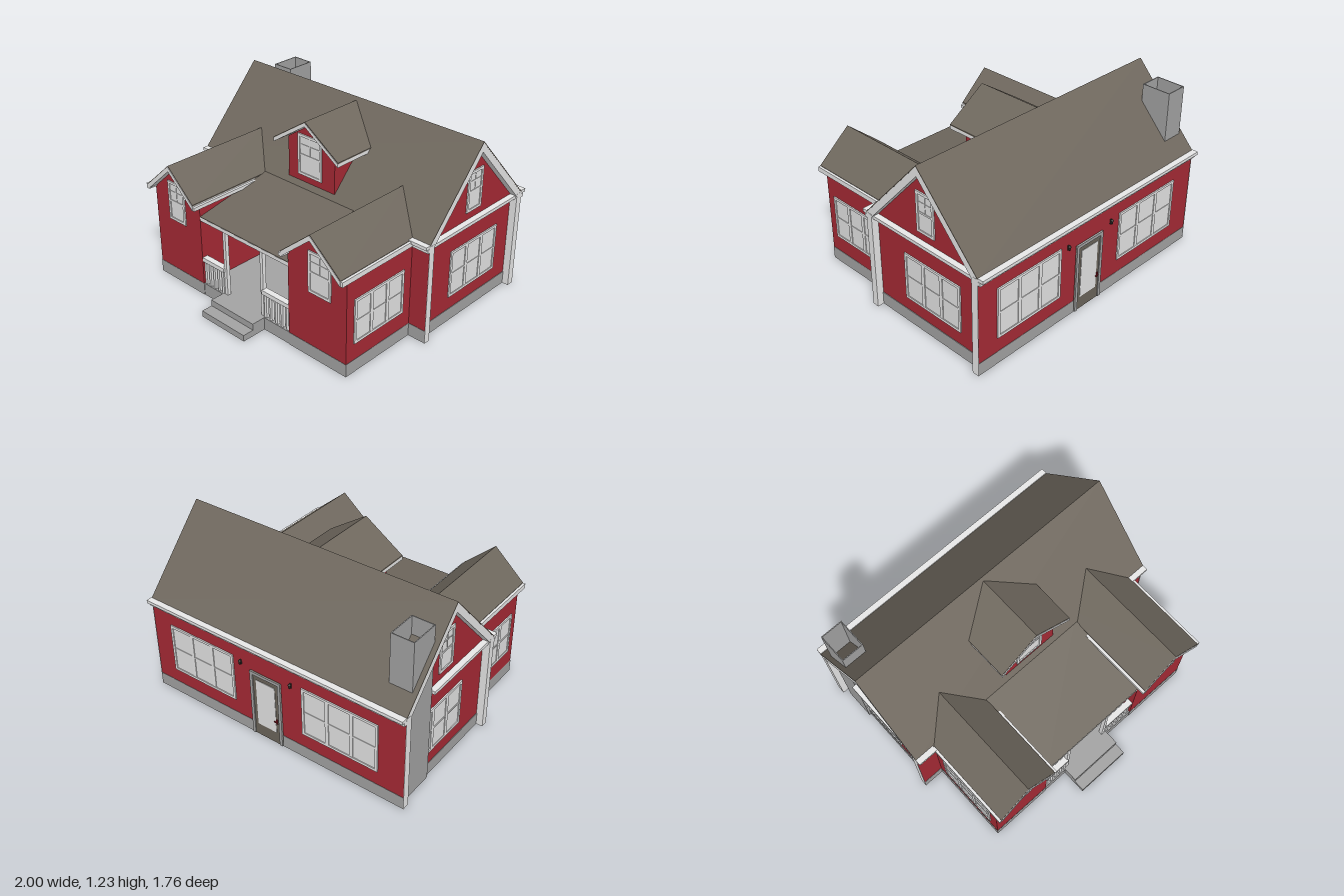
import * as THREE from 'three';

const mat = (name, color) => {
  const m = new THREE.MeshStandardMaterial({ color });
  m.name = name;
  return m;
};

export function createModel() {
  const red = mat('wall red', 0xa62a35);
  const white = mat('trim white', 0xe8e8e8);
  const grey = mat('concrete grey', 0xa3a3a3);
  const under = mat('underside pale', 0xd8d8d8);
  const roofMat = mat('roof taupe', 0x6f685e);
  const glass = mat('pale glass', 0xe4e4e4);
  const doorMat = mat('door taupe', 0x6b655b);
  const black = mat('lamp black', 0x322e2a);
  const handleMat = mat('handle red', 0x7a1620);

  const house = new THREE.Group();
  house.name = 'house';

  const add = (parent, name, geo, material) => {
    const m = new THREE.Mesh(geo, material);
    m.name = name;
    parent.add(m);
    return m;
  };
  // Box given by its limits on each axis
  const box = (parent, name, material, [x0, x1], [y0, y1], [z0, z1]) => {
    const g = new THREE.BoxGeometry(x1 - x0, y1 - y0, z1 - z0);
    g.translate((x0 + x1) / 2, (y0 + y1) / 2, (z0 + z1) / 2);
    return add(parent, name, g, material);
  };
  // Concrete block on the ground with a pale underside
  const block = (name, x, top, z) => {
    box(house, name, grey, x, [0.003, top], z);
    box(house, name + 'Underside', under, x, [0, 0.003], z);
  };
  // Profile in x,y swept along z
  const sweepZ = (pts, z0, z1) => {
    const shape = new THREE.Shape(pts.map(p => new THREE.Vector2(...p)));
    return new THREE.ExtrudeGeometry(shape, { depth: z1 - z0, bevelEnabled: false }).translate(0, 0, z0);
  };
  // Profile in z,y swept along x
  const sweepX = (pts, x0, x1) => sweepZ(pts, -x1, -x0).rotateY(-Math.PI / 2);
  // Inverted V band: centre c, half width h, eave and ridge height, thickness measured downwards
  const chevron = (c, h, eave, ridge, t) => [
    [c - h, eave], [c - h, eave - t], [c, ridge - t], [c + h, eave - t], [c + h, eave], [c, ridge]];
  const gable = (c, h, base, eave, ridge) => [
    [c - h, base], [c + h, base], [c + h, eave], [c, ridge], [c - h, eave]];

  // Place a group built facing +z: on a wall at (x,y,z), turned by angle
  const place = (name, x, y, z, angle) => {
    const g = new THREE.Group();
    g.name = name;
    g.position.set(x, y, z);
    g.rotation.y = angle;
    house.add(g);
    return g;
  };
  const FRONT = 0, BACK = Math.PI, LEFT = Math.PI / 2, RIGHT = -Math.PI / 2;

  // Double-hung window with a number of side-by-side sashes
  const addWindow = (name, x, y, z, angle, w, h, count = 1) => {
    const g = place(name, x, y, z, angle);
    const W = w / 2, H = h / 2, f = 0.018;
    box(g, 'glass', glass, [-W + 0.005, W - 0.005], [-H + 0.005, H - 0.005], [-0.002, 0.003]);
    for (const s of [-1, 1]) {
      box(g, 'frameRail', white, [-W, W], s > 0 ? [H - f, H] : [-H, -H + f], [0, 0.009]);
      box(g, 'frameStile', white, s > 0 ? [W - f, W] : [-W, -W + f], [-H, H], [0, 0.009]);
    }
    const pitch = (w - f) / count;
    for (let i = 0; i < count; i++) {
      const c = -W + f / 2 + pitch * (i + 0.5);
      if (i) box(g, 'mullion', white, [c - pitch / 2 - 0.013, c - pitch / 2 + 0.013], [-H, H], [0, 0.008]);
      box(g, 'meetingRail', white, [c - pitch / 2, c + pitch / 2], [-0.006, 0.006], [0, 0.007]);
      if (count === 1) {
        box(g, 'muntin', white, [c - 0.003, c + 0.003], [0, H], [0, 0.006]);
        box(g, 'muntin', white, [-W, W], [H / 2 - 0.003, H / 2 + 0.003], [0, 0.006]);
      }
    }
  };

  const addDoor = (name, x, y, z, angle, w, h, glassBottom, jambMat, panels) => {
    const g = place(name, x, y, z, angle);
    const W = w / 2, f = 0.022;
    box(g, 'slab', doorMat, [-W, W], [0, h], [-0.002, 0.005]);
    box(g, 'jamb', jambMat, [-W, -W + f], [0, h], [0, 0.011]);
    box(g, 'jamb', jambMat, [W - f, W], [0, h], [0, 0.011]);
    box(g, 'lintel', jambMat, [-W, W], [h - f, h], [0, 0.011]);
    box(g, 'glass', glass, [-W + 0.047, W - 0.047], [glassBottom, h - 0.055], [0, 0.008]);
    if (panels) for (const s of [-1, 1]) {
      const c = s * 0.03;
      box(g, 'panelGroove', black, [c - 0.024, c + 0.024], [0.04, 0.16], [0, 0.007]);
      box(g, 'panel', doorMat, [c - 0.014, c + 0.014], [0.055, 0.145], [0, 0.01]);
    }
    box(g, 'handle', handleMat, [W - 0.042, W - 0.032], [0.165, 0.2], [0, 0.012]);
    box(g, 'lever', handleMat, [W - 0.058, W - 0.032], [0.177, 0.184], [0.01, 0.016]);
  };

  const addLamp = (name, x, y, z, angle) => {
    const g = place(name, x, y, z, angle);
    box(g, 'plate', black, [-0.006, 0.006], [-0.016, 0.02], [0, 0.005]);
    add(g, 'lantern', new THREE.CylinderGeometry(0.009, 0.005, 0.024, 8).translate(0, 0, 0.013), black);
    add(g, 'cap', new THREE.ConeGeometry(0.011, 0.014, 8).translate(0, 0.019, 0.013), black);
  };

  // Main body
  add(house, 'mainWalls', sweepX(gable(-0.355, 0.475, 0.02, 0.68, 1.19), -0.95, 0.95), red);
  box(house, 'frontWall', red, [-0.998, 0.998], [0.09, 0.69], [0.118, 0.122]);
  box(house, 'backWall', red, [-0.998, 0.998], [0.09, 0.69], [-0.834, -0.83]);
  block('mainFoundation', [-0.954, 0.954], 0.09, [-0.83, 0.118]);
  block('frontFoundation', [-0.998, 0.998], 0.09, [0.118, 0.124]);
  block('backFoundation', [-0.998, 0.998], 0.09, [-0.836, -0.83]);

  // Main roof with white rake boards under it, cut level at the eaves
  add(house, 'mainRoof', sweepX(chevron(-0.355, 0.485, 0.7, 1.225, 0.008), -1, 1), roofMat);
  add(house, 'mainRake', sweepX([
    [-0.839, 0.693], [-0.839, 0.66], [-0.809, 0.66], [-0.355, 1.153],
    [0.099, 0.66], [0.129, 0.66], [0.129, 0.693], [-0.355, 1.218]], -0.999, 0.999), white);
  box(house, 'backFascia', white, [-1, 1], [0.66, 0.686], [-0.858, -0.83]);
  box(house, 'backGutter', white, [-1, 1], [0.688, 0.71], [-0.88, -0.838]);

  for (const s of [-1, 1]) {
    const span = (a, b) => (s > 0 ? [a, b] : [-b, -a]);
    const side = s > 0 ? LEFT : RIGHT;

    // Corner posts with end boards, gable band and front eave trim
    box(house, 'frontCornerPost', white, span(0.945, 0.998), [0, 0.7], [0.08, 0.118]);
    box(house, 'backCornerPost', white, span(0.945, 0.998), [0, 0.7], [-0.83, -0.787]);
    box(house, 'frontCornerBoard', white, span(0.998, 1), [0, 0.7], [0.08, 0.126]);
    box(house, 'backCornerBoard', white, span(0.998, 1), [0, 0.7], [-0.837, -0.787]);
    box(house, 'gableBand', white, span(0.94, 0.99), [0.665, 0.688], [s > 0 ? -0.8 : -0.53, 0.1]);
    box(house, 'frontFascia', white, span(0.86, 1), [0.66, 0.686], [0.12, 0.142]);
    box(house, 'frontGutter', white, span(0.86, 1), [0.688, 0.71], [0.12, 0.16]);

    // Front wings; the one on the model's left is slightly wider
    const cx = 0.629, c = s * cx, half = s > 0 ? 0.237 : 0.221;
    const edge = half + 0.02;
    add(house, 'wingWalls', sweepZ(gable(c, half, 0.05, 0.68, 0.875), -0.05, 0.705), red);
    block('wingFoundation', span(cx - half - 0.002, cx + half + 0.002), 0.09, [0.1, 0.707]);
    add(house, 'wingRoof', sweepZ(chevron(c, half + 0.003, 0.705, 0.908, 0.008), -0.06, 0.763), roofMat);
    add(house, 'wingRake', sweepZ(chevron(c, half + 0.002, 0.699, 0.902, 0.034), -0.05, 0.766), white);
    box(house, 'wingOuterGutter', white, span(cx + half - 0.01, cx + edge), [0.668, 0.702], [0.12, 0.764]);
    box(house, 'wingInnerGutter', white, span(cx - edge, cx - half + 0.01), [0.666, 0.69], [0.12, 0.764]);

    // Side, gable and wing windows
    addWindow('sideWindow', s * 0.95, 0.353, -0.402, side, 0.485, 0.335, 3);
    addWindow('gableWindow', s * 0.95, 0.882, -0.365, side, 0.15, 0.28);
    addWindow('wingSideWindow', s * (cx + half), 0.365, 0.418, side, 0.445, 0.31, 3);
    addWindow('wingFrontWindow', s > 0 ? 0.655 : -0.632, 0.617, 0.705, FRONT, s > 0 ? 0.18 : 0.16, 0.285);
  }

  // Dormer
  add(house, 'dormerWalls', sweepZ(gable(-0.005, 0.205, 0.7, 1.03, 1.17), -0.3, 0.09), red);
  add(house, 'dormerRoof', sweepZ(chevron(-0.005, 0.285, 1.016, 1.207, 0.008), -0.335, 0.148), roofMat);
  add(house, 'dormerRake', sweepZ(chevron(-0.005, 0.284, 1.009, 1.2, 0.026), -0.32, 0.151), white);
  addWindow('dormerWindow', -0.014, 0.936, 0.09, FRONT, 0.21, 0.29);

  // Chimney, an open shaft from the ground
  const shaft = new THREE.Shape([[-0.968, 0.53], [-0.81, 0.53], [-0.81, 0.74], [-0.968, 0.74]]
    .map(p => new THREE.Vector2(...p)));
  shaft.holes.push(new THREE.Path([[-0.962, 0.536], [-0.962, 0.734], [-0.816, 0.734], [-0.816, 0.536]]
    .map(p => new THREE.Vector2(...p))));
  add(house, 'chimney', new THREE.ExtrudeGeometry(shaft, { depth: 1.15, bevelEnabled: false })
    .rotateX(-Math.PI / 2).translate(0, 0.005, 0), grey);

  // Porch floor, steps, roof and beam
  block('porchFloor', [-0.408, 0.395], 0.09, [0.1, 0.704]);
  block('upperStep', [-0.225, 0.168], 0.09, [0.7, 0.803]);
  block('lowerStep', [-0.225, 0.168], 0.045, [0.8, 0.883]);
  add(house, 'porchRoof', sweepX([[0.1, 0.715], [0.1, 0.7], [0.703, 0.585], [0.703, 0.598]], -0.408, 0.392), roofMat);
  box(house, 'porchBeam', white, [-0.41, 0.395], [0.568, 0.594], [0.66, 0.704]);

  // Porch posts and railings
  for (const x of [-0.198, 0.143]) box(house, 'porchPost', white, [x - 0.012, x + 0.012], [0.09, 0.57], [0.665, 0.692]);
  for (const [x0, x1] of [[-0.412, -0.205], [0.15, 0.395]]) {
    box(house, 'handrail', white, [x0, x1], [0.26, 0.29], [0.662, 0.704]);
    const n = 5, pitch = (x1 - x0) / n;
    for (let i = 0; i < n; i++) {
      const x = x0 + pitch * (i + 0.5);
      box(house, 'baluster', white, [x - 0.01, x + 0.01], [0.09, 0.265], [0.675, 0.696]);
    }
  }

  // Porch wall: door, windows, lamps
  addDoor('frontDoor', -0.043, 0.09, 0.122, FRONT, 0.21, 0.392, 0.185, doorMat, true);
  addWindow('porchWindow', -0.275, 0.345, 0.122, FRONT, 0.135, 0.25);
  addWindow('porchWindow', 0.24, 0.345, 0.122, FRONT, 0.13, 0.25);
  for (const x of [-0.177, 0.092]) addLamp('frontLamp', x, 0.515, 0.122, FRONT);

  // Back wall: door, windows, lamps
  addDoor('backDoor', 0.042, 0.005, -0.836, BACK, 0.245, 0.5, 0.09, grey, false);
  addWindow('backWindow', 0.575, 0.375, -0.834, BACK, 0.54, 0.36, 3);
  addWindow('backWindow', -0.527, 0.375, -0.834, BACK, 0.565, 0.36, 3);
  for (const x of [0.24, -0.16]) addLamp('backLamp', x, 0.53, -0.834, BACK);

  return house;
}
